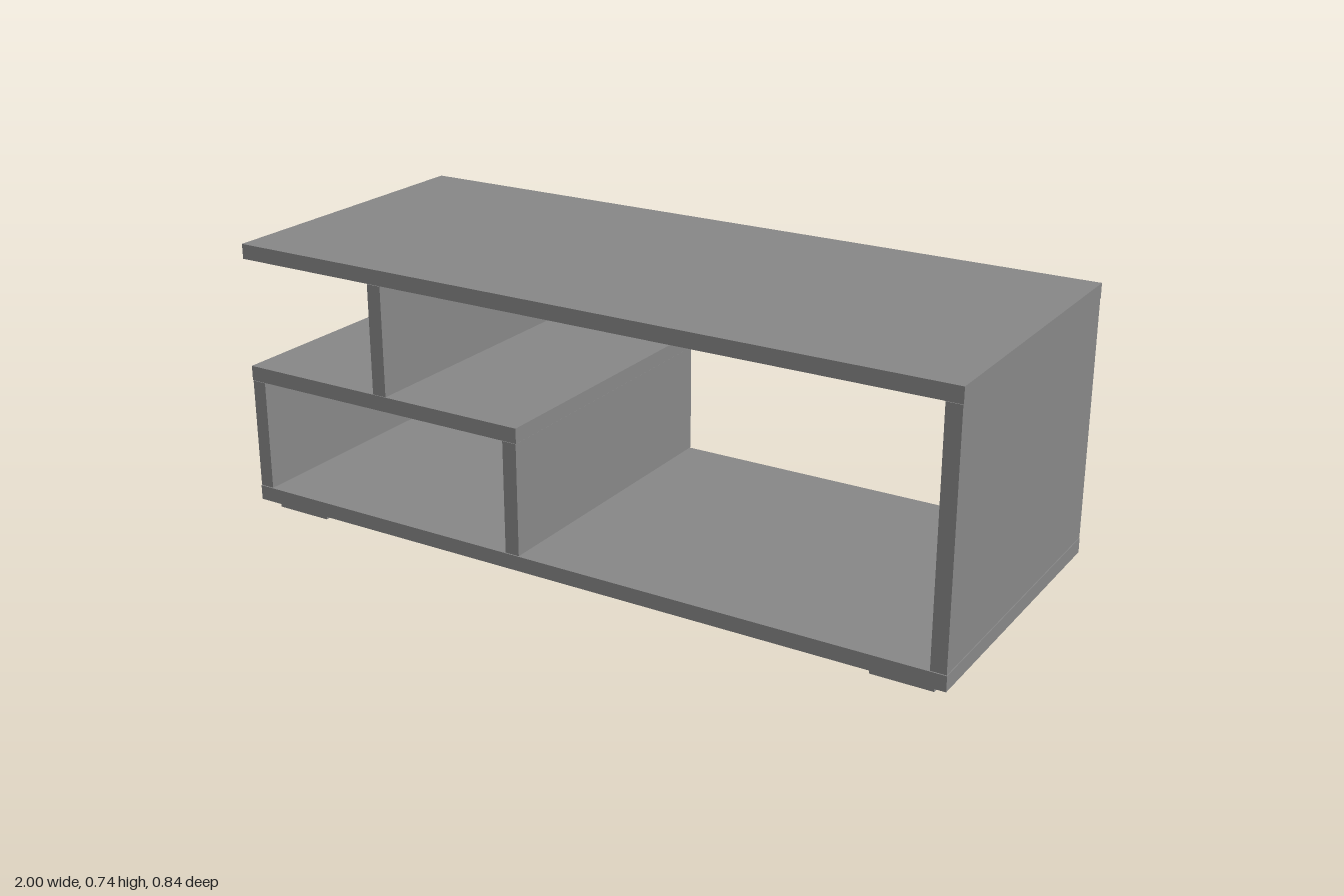
import * as THREE from 'three';

const DEPTH = 0.836;

export function createModel() {
  const group = new THREE.Group();
  const material = new THREE.MeshStandardMaterial({ color: 0x888888 });

  // Box given by its x, y and z extents
  function board(name, x0, x1, y0, y1, z0 = -DEPTH / 2, z1 = DEPTH / 2) {
    const mesh = new THREE.Mesh(new THREE.BoxGeometry(x1 - x0, y1 - y0, z1 - z0), material);
    mesh.position.set((x0 + x1) / 2, (y0 + y1) / 2, (z0 + z1) / 2);
    mesh.name = name;
    group.add(mesh);
  }

  // Horizontal boards
  board('basePanel', -1, 1, 0.025, 0.065);
  board('shelf', -1, -0.147, 0.368, 0.408);
  board('tableTop', -1, 1, 0.702, 0.742);

  // Upright boards
  board('sidePanel', 0.959, 0.999, 0.067, 0.701);
  board('shelfOuterSupport', -0.998, -0.958, 0.067, 0.367);
  board('shelfInnerSupport', -0.188, -0.148, 0.067, 0.367);
  board('upperDivider', -0.589, -0.549, 0.409, 0.701);

  // Four low feet
  for (const sx of [-1, 1]) {
    for (const sz of [-1, 1]) {
      const x = sx * 0.88, z = sz * 0.315;
      board('foot', x - 0.08, x + 0.08, 0, 0.023, z - 0.074, z + 0.074);
    }
  }
  return group;
}
